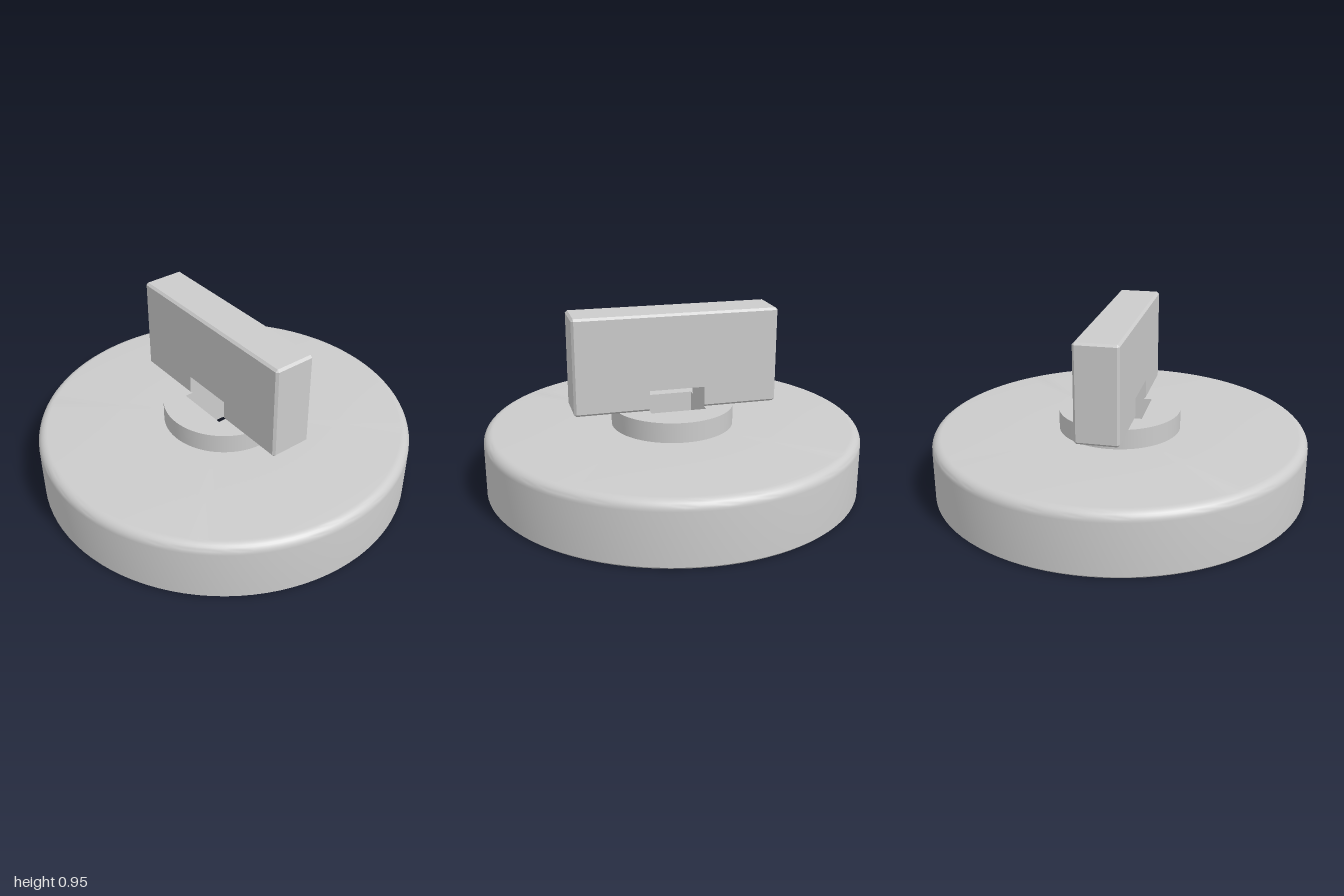
import * as THREE from 'three';
import { toCreasedNormals } from 'three/addons/utils/BufferGeometryUtils.js';

const grey = new THREE.MeshStandardMaterial({ color: 0xcccccc });

function part(name, geometry) {
  const mesh = new THREE.Mesh(toCreasedNormals(geometry, 0.5), grey);
  mesh.name = name;
  return mesh;
}

// Disc with a rounded top edge, a recessed underside and a round bore
function discGeometry() {
  const p = [[0.275, 0.175], [0.275, 0.105], [0.89, 0.105], [0.89, 0], [0.99, 0], [1, 0.01]];
  const r = 0.05;
  for (let i = 0; i <= 8; i++) {
    const a = (i / 8) * Math.PI / 2;
    p.push([1 - r + r * Math.cos(a), 0.331 - r + r * Math.sin(a)]);
  }
  p.push([0.325, 0.331]);
  return new THREE.LatheGeometry(p.map(([x, y]) => new THREE.Vector2(x, y)), 96);
}

// Round collar with a square through hole
function collarGeometry() {
  const shape = new THREE.Shape().absarc(0, 0, 0.325, 0, Math.PI * 2, false);
  const s = 0.147;
  shape.holes.push(new THREE.Path().moveTo(-s, -s).lineTo(-s, s).lineTo(s, s).lineTo(s, -s).closePath());
  return new THREE.ExtrudeGeometry(shape, { depth: 0.262, bevelEnabled: false, curveSegments: 64 })
    .rotateX(-Math.PI / 2).translate(0, 0.175, 0);
}

// Chamfered grip bar, swept along x, with a square notch in its lower edge
function gripGeometry() {
  const top = 0.949, bottom = 0.437, w = 0.114, c = 0.012, notch = 0.147, notchTop = 0.548;
  // yz cross-section: side points at yt/yb and edge points at the outer top/bottom
  const ring = (x, yTop, yTopSide, ySide, yBottom, half) => [
    [x, yTop, w - c], [x, yTopSide, half], [x, ySide, half], [x, yBottom, w - c],
    [x, yBottom, -(w - c)], [x, ySide, -half], [x, yTopSide, -half], [x, yTop, -(w - c)],
  ];
  const end = x => ring(x, top - c, top - c, bottom + c, bottom + c, w - c);
  const full = x => ring(x, top, top - c, bottom + c, bottom, w);
  const cut = x => ring(x, top, top - c, notchTop, notchTop, w);
  const rings = [
    end(-0.543), full(-0.543 + c), full(-notch), cut(-notch),
    cut(notch), full(notch), full(0.543 - c), end(0.543),
  ];
  const pos = [];
  const tri = (a, b, d) => {
    const [A, B, D] = [a, b, d].map(v => new THREE.Vector3(...v));
    if (new THREE.Triangle(A, B, D).getArea() > 1e-9) pos.push(...a, ...b, ...d);
  };
  for (let i = 0; i < rings.length - 1; i++) {
    const R = rings[i], S = rings[i + 1];
    for (let j = 0; j < 8; j++) {
      const k = (j + 1) % 8;
      tri(R[j], R[k], S[k]);
      tri(R[j], S[k], S[j]);
    }
  }
  // End faces
  const first = rings[0], last = rings[rings.length - 1];
  for (let j = 1; j < 7; j++) {
    tri(first[0], first[j + 1], first[j]);
    tri(last[0], last[j], last[j + 1]);
  }
  const g = new THREE.BufferGeometry();
  g.setAttribute('position', new THREE.Float32BufferAttribute(pos, 3));
  g.computeVertexNormals();
  return g;
}

export function createModel() {
  const group = new THREE.Group();
  group.name = 'knob';
  group.add(
    part('disc', discGeometry()),
    part('collar', collarGeometry()),
    part('grip', gripGeometry()),
  );
  return group;
}
